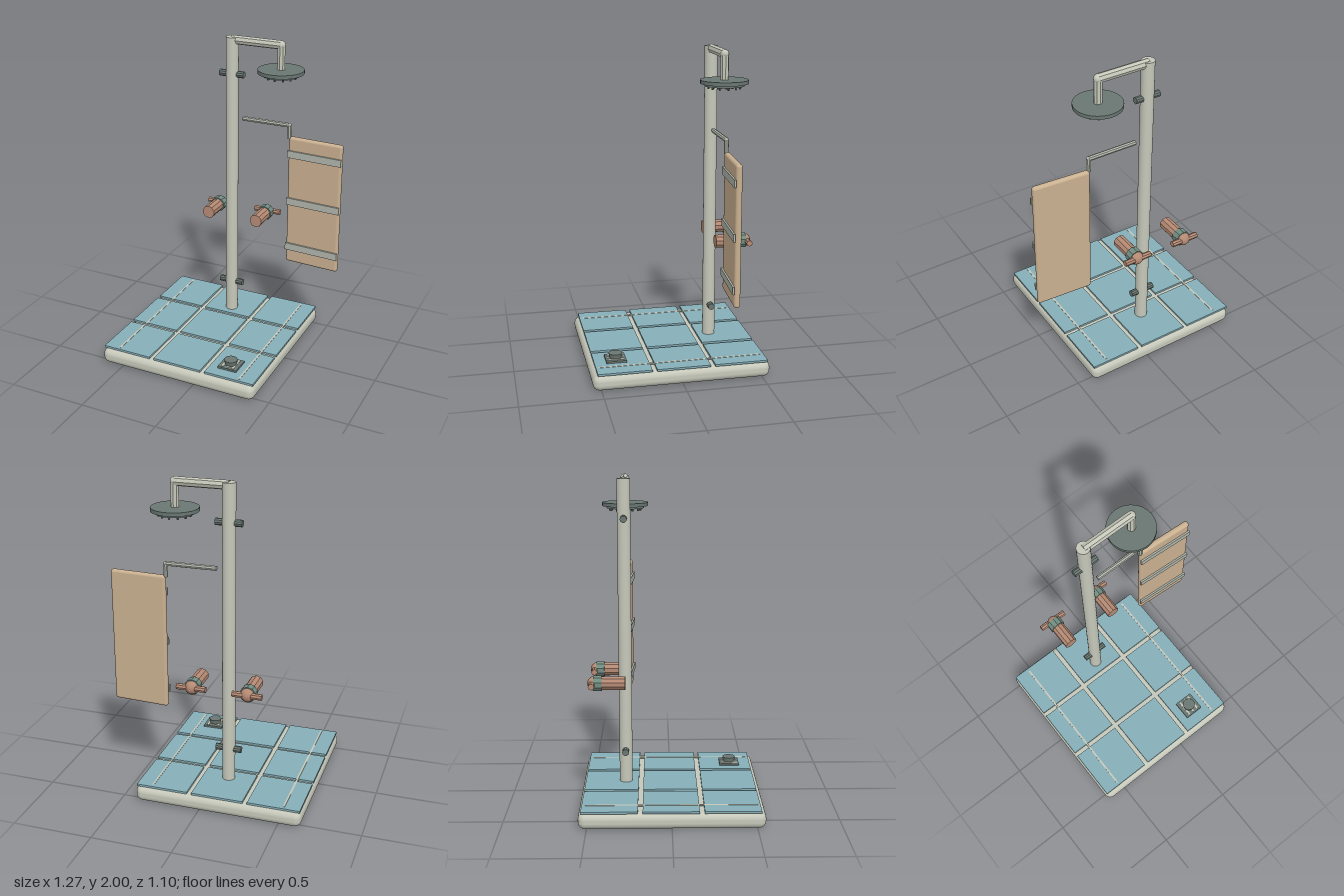
import * as THREE from 'three';
import { RoundedBoxGeometry } from 'three/addons/geometries/RoundedBoxGeometry.js';

const mat = (name, color) => Object.assign(new THREE.MeshStandardMaterial({ color }), { name });

export function createModel() {
  const cream = mat('cream enamel', 0xc6c8ba);
  const tileBlue = mat('blue tile', 0x86afb8);
  const silver = mat('silver metal', 0xb0b6ab);
  const dark = mat('dark metal', 0x6a7772);
  const copper = mat('copper', 0xb58a74);
  const green = mat('verdigris collar', 0x718d82);
  const cloth = mat('towel cloth', 0xcab191);

  const model = new THREE.Group();
  model.name = 'gardenShower';

  const add = (name, geometry, material, x, y, z, parent = model) => {
    const mesh = new THREE.Mesh(geometry, material);
    mesh.name = name;
    mesh.position.set(x, y, z);
    parent.add(mesh);
    return mesh;
  };
  const box = (w, h, d) => new THREE.BoxGeometry(w, h, d);
  // Cylinder along a chosen axis; low side counts are faceted
  const rod = (r, length, axis = 'y', sides = 8, rEnd = r) => {
    let g = new THREE.CylinderGeometry(r, rEnd, length, sides);
    if (sides <= 12) {
      g = g.toNonIndexed();
      g.computeVertexNormals();
    }
    if (axis === 'x') g.rotateZ(Math.PI / 2);
    if (axis === 'z') g.rotateX(Math.PI / 2);
    return g;
  };

  const poleX = -0.115, poleZ = -0.28;

  // Shower tray with soft edges
  add('tray', new RoundedBoxGeometry(1.05, 0.1, 1.1, 4, 0.042), cream, poleX, 0.05, 0);

  // Three by three floor tiles
  for (const x of [-0.47, -0.116, 0.238]) {
    for (const z of [-0.366, -0.005, 0.356]) {
      add('floorTile', box(0.325, 0.013, 0.332), tileBlue, x, 0.1065, z);
    }
  }
  // Thin inlay strips over the tiles
  for (const x of [-0.53, 0.301]) {
    add('inlayStrip', box(0.012, 0.008, 1.015), cream, x, 0.111, -0.002);
  }

  // Floor drain
  const drain = new THREE.Group();
  drain.name = 'drain';
  drain.position.set(0.193, 0, 0.386);
  model.add(drain);
  add('drainPlate', box(0.125, 0.012, 0.125), dark, 0, 0.119, 0, drain);
  for (const x of [-0.035, 0, 0.035]) {
    add('drainSlot', box(0.012, 0.004, 0.105), cream, x, 0.126, 0, drain);
  }
  add('drainKnob', rod(0.041, 0.03, 'y', 20, 0.036), dark, 0, 0.141, 0, drain);

  // Upright pole and its cross fittings
  add('pole', rod(0.04, 1.89, 'y', 24), cream, poleX, 1.045, poleZ);
  for (const y of [1.757, 0.32]) {
    add('poleFitting', rod(0.021, 0.162, 'x', 10), dark, poleX, y, poleZ);
  }

  // Overhead arm, elbow and drop pipe
  add('overheadArm', rod(0.028, 0.325, 'x'), cream, 0.0475, 1.972, poleZ);
  add('armElbow', new THREE.SphereGeometry(0.026, 12, 8), cream, 0.21, 1.972, poleZ);
  add('dropPipe', rod(0.025, 0.15), cream, 0.21, 1.897, poleZ);

  // Shower head with rings of nozzles
  const head = new THREE.Group();
  head.name = 'showerHead';
  head.position.set(0.21, 0, poleZ);
  model.add(head);
  add('headPlate', rod(0.143, 0.022, 'y', 32), dark, 0, 1.812, 0, head);
  add('sprayPlate', rod(0.117, 0.014, 'y', 32), dark, 0, 1.794, 0, head);
  for (const [count, radius] of [[1, 0], [6, 0.05], [12, 0.095]]) {
    for (let i = 0; i < count; i++) {
      const a = (i / count) * Math.PI * 2;
      add('nozzle', rod(0.008, 0.018, 'y', 6, 0.006), dark,
        radius * Math.cos(a), 1.78, radius * Math.sin(a), head);
    }
  }

  // Towel rail and hanger
  add('towelRail', rod(0.015, 0.315, 'x'), silver, 0.1175, 1.477, poleZ);
  add('railElbow', new THREE.SphereGeometry(0.014, 10, 6), silver, 0.275, 1.477, poleZ);
  add('railHanger', rod(0.0145, 0.085), silver, 0.275, 1.437, poleZ);

  // Towel, turned slightly, with three bands across its front
  const towel = new THREE.Group();
  towel.name = 'towel';
  towel.position.set(0.453, 0, -0.275);
  towel.rotation.y = -0.063;
  model.add(towel);
  add('towelCloth', new RoundedBoxGeometry(0.357, 0.85, 0.038, 3, 0.017), cloth, 0, 0.98, 0, towel);
  for (const y of [1.296, 0.98, 0.666]) {
    add('towelBand', box(0.359, 0.046, 0.012), silver, 0, y, 0.024, towel);
  }

  // Pair of taps behind the pole
  for (const x of [-0.286, 0.056]) {
    const tap = new THREE.Group();
    tap.name = 'tap';
    tap.position.set(x, 0.79, 0);
    model.add(tap);
    add('tapBody', rod(0.042, 0.165, 'z', 10), copper, 0, 0, -0.3575, tap);
    add('tapCollar', rod(0.049, 0.05, 'z', 10), green, 0, 0, -0.44, tap);
    add('tapCap', new THREE.SphereGeometry(0.043, 12, 8), copper, 0, 0, -0.459, tap);
    add('tapHandle', rod(0.019, 0.18, 'x', 8), copper, 0, 0, -0.474, tap);
  }

  return model;
}
